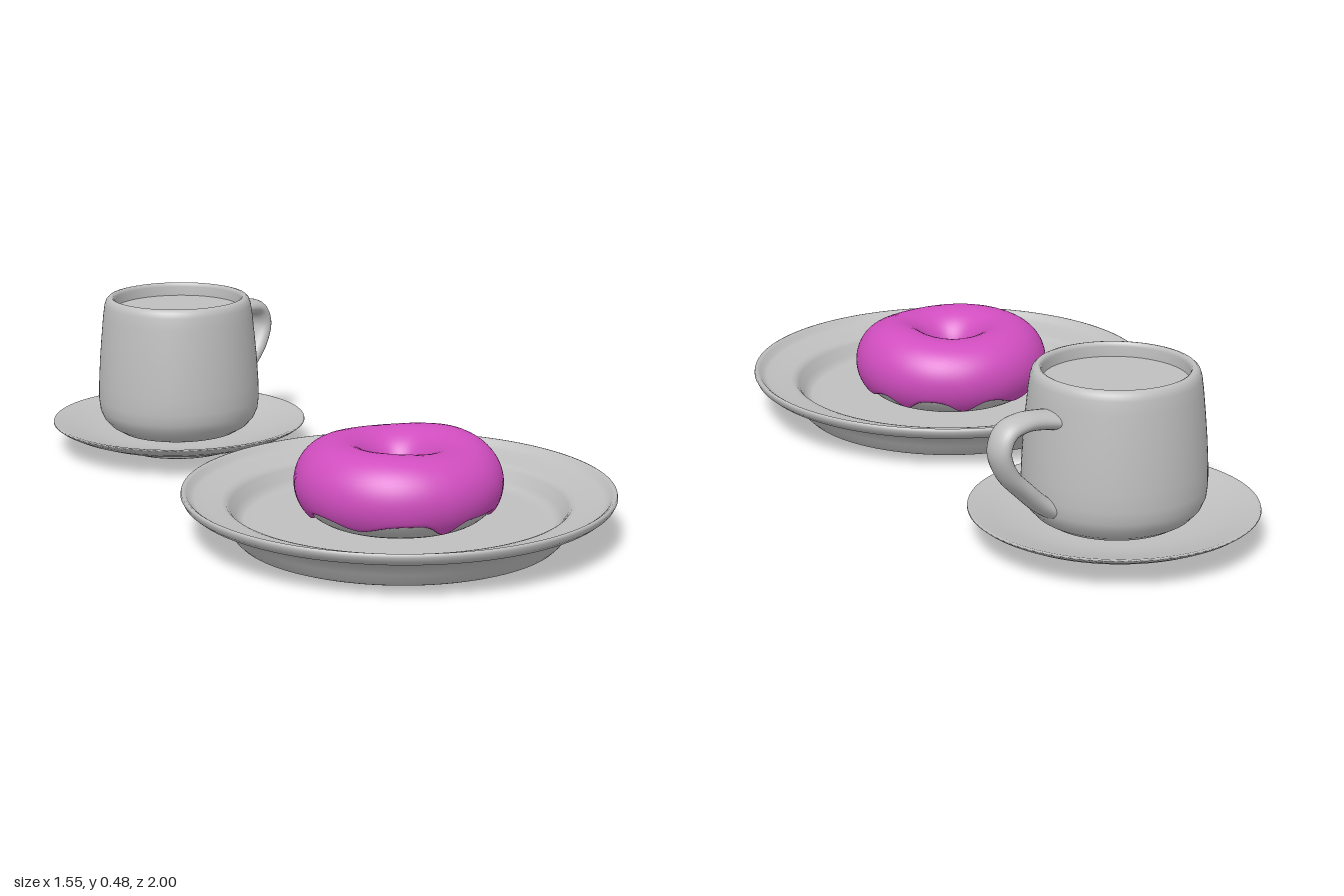
import * as THREE from 'three';
import { mergeVertices } from 'three/addons/utils/BufferGeometryUtils.js';

const ceramic = new THREE.MeshStandardMaterial({ color: 0xbfbfbf });
ceramic.name = 'ceramic grey';
const pink = new THREE.MeshStandardMaterial({ color: 0xd04dbf });
pink.name = 'icing magenta';

function part(name, geometry, material, parent) {
  const mesh = new THREE.Mesh(geometry, material);
  mesh.name = name;
  parent.add(mesh);
  return mesh;
}

function group(name, x, z, parent) {
  const g = new THREE.Group();
  g.name = name;
  g.position.set(x, 0, z);
  parent.add(g);
  return g;
}

// Turned solid: profile runs from the axis underneath, round the rim, back to the axis
const lathe = (profile) =>
  new THREE.LatheGeometry(profile.map(([r, y]) => new THREE.Vector2(r, y)), 96);

// Welds a geometry and smooths it across its seams
function smooth(geometry) {
  geometry.deleteAttribute('uv');
  geometry.deleteAttribute('normal');
  const welded = mergeVertices(geometry, 1e-5);
  welded.computeVertexNormals();
  return welded;
}

// Icing: open ring shell with a dripping outer edge, tucked into the dough at both edges
function icingGeometry(ring, centreY) {
  const around = 144, across = 48;
  // drips: [angle from +z towards +x in degrees, width, depth]
  const drips = [[21, 8, 0.42], [75, 8, 0.4], [-32, 14, 0.25], [-80, 9, 0.4],
    [-125, 13, 0.3], [-165, 9, 0.42], [118, 13, 0.3], [155, 8, 0.38]];
  const edge = (deg) => drips.reduce((sum, [at, width, depth]) => {
    const d = (((deg - at) % 360) + 540) % 360 - 180;
    return sum + depth * Math.exp(-((d / width) ** 2));
  }, 0.52);
  const positions = [], index = [];
  for (let i = 0; i <= around; i++) {
    const deg = ((i % around) / around) * 360;
    const a = THREE.MathUtils.degToRad(deg);
    const start = -edge(deg), end = Math.PI + 0.7;
    for (let j = 0; j <= across; j++) {
      const t = j / across;
      const v = start + (end - start) * (t - 0.1 * Math.sin(2 * Math.PI * t));
      const lip = Math.min(1, Math.min(v - start, end - v) / 0.16);
      const tube = 0.103 + 0.014 * Math.sqrt(Math.max(0, 1 - (1 - lip) ** 2));
      const r = ring + tube * Math.cos(v);
      const wave = 0.005 * Math.sin(2 * a + 3.6) + 0.003 * Math.cos(3 * a);
      const y = centreY + tube * Math.sin(v) + wave * Math.max(0, Math.sin(v));
      positions.push(r * Math.sin(a), y, r * Math.cos(a));
      if (i < around && j < across) {
        const p = i * (across + 1) + j, q = p + across + 1;
        index.push(p, q, p + 1, q, q + 1, p + 1);
      }
    }
  }
  const g = new THREE.BufferGeometry();
  g.setAttribute('position', new THREE.Float32BufferAttribute(positions, 3));
  g.setIndex(index);
  const welded = mergeVertices(g, 1e-5);
  welded.computeVertexNormals();
  return welded;
}

// Handle: curved tube, broadened sideways and flared where it meets the cup
function handleGeometry() {
  const path = new THREE.CatmullRomCurve3([
    [0.205, 0.375], [0.25, 0.385], [0.32, 0.392], [0.375, 0.377], [0.396, 0.33],
    [0.372, 0.265], [0.31, 0.2], [0.26, 0.155], [0.215, 0.125],
  ].map(([x, y]) => new THREE.Vector3(x, y, 0)));
  const g = new THREE.TubeGeometry(path, 64, 0.025, 24, false);
  const pos = g.attributes.position;
  for (let i = 0; i < pos.count; i++) {
    const flare = Math.max(0, (0.3 - pos.getX(i)) / 0.08);
    pos.setZ(i, pos.getZ(i) * (1.65 + 0.5 * flare * flare));
  }
  return smooth(g);
}

export function createModel() {
  const model = new THREE.Group();
  model.name = 'doughnut and cup';

  // Dinner plate
  const plateSet = group('plateSet', 0.17, 0.397, model);
  part('plate', lathe([
    [0, 0], [0.3, 0], [0.438, 0], [0.448, 0.004], [0.46, 0.016], [0.475, 0.04],
    [0.492, 0.064], [0.515, 0.081], [0.55, 0.092], [0.58, 0.102], [0.595, 0.114],
    [0.602, 0.128], [0.6, 0.136], [0.594, 0.137], [0.586, 0.132], [0.577, 0.121],
    [0.565, 0.115], [0.53, 0.109], [0.49, 0.103], [0.477, 0.099], [0.468, 0.089],
    [0.452, 0.064], [0.44, 0.05], [0.428, 0.046], [0.4, 0.045], [0.2, 0.045], [0, 0.045],
  ]), ceramic, plateSet);

  // Doughnut
  const ring = 0.173, centreY = 0.156;
  const doughnut = group('doughnut', 0, -0.005, plateSet);
  const dough = part('dough', new THREE.TorusGeometry(ring, 0.108, 40, 96), ceramic, doughnut);
  dough.rotation.x = Math.PI / 2;
  dough.position.y = centreY;
  part('icing', icingGeometry(ring, centreY), pink, doughnut);

  // Saucer
  const cupSet = group('cupSet', -0.382, -0.608, model);
  part('saucer', lathe([
    [0, 0.005], [0.12, 0.005], [0.178, 0.005], [0.185, 0.009], [0.188, 0.022], [0.194, 0.029],
    [0.21, 0.031], [0.25, 0.034], [0.3, 0.045], [0.35, 0.063], [0.38, 0.078], [0.392, 0.087],
    [0.391, 0.091], [0.384, 0.091], [0.34, 0.077], [0.29, 0.062], [0.24, 0.051],
    [0.19, 0.046], [0.1, 0.045], [0, 0.045],
  ]), ceramic, cupSet);

  // Cup
  part('cup', lathe([
    [0, 0.046], [0.1, 0.046], [0.15, 0.05], [0.185, 0.06], [0.213, 0.077], [0.234, 0.1],
    [0.245, 0.126], [0.249, 0.16], [0.248, 0.21], [0.244, 0.28], [0.238, 0.35],
    [0.231, 0.42], [0.226, 0.455], [0.221, 0.47], [0.213, 0.478], [0.205, 0.48],
    [0.199, 0.477], [0.196, 0.468], [0.196, 0.44], [0.195, 0.425], [0.1, 0.425], [0, 0.425],
  ]), ceramic, cupSet);
  const drink = part('drink', new THREE.CircleGeometry(0.196, 96), ceramic, cupSet);
  drink.rotation.x = -Math.PI / 2;
  drink.position.y = 0.44;
  part('handle', handleGeometry(), ceramic, cupSet).rotation.y = Math.PI / 4;

  return model;
}
